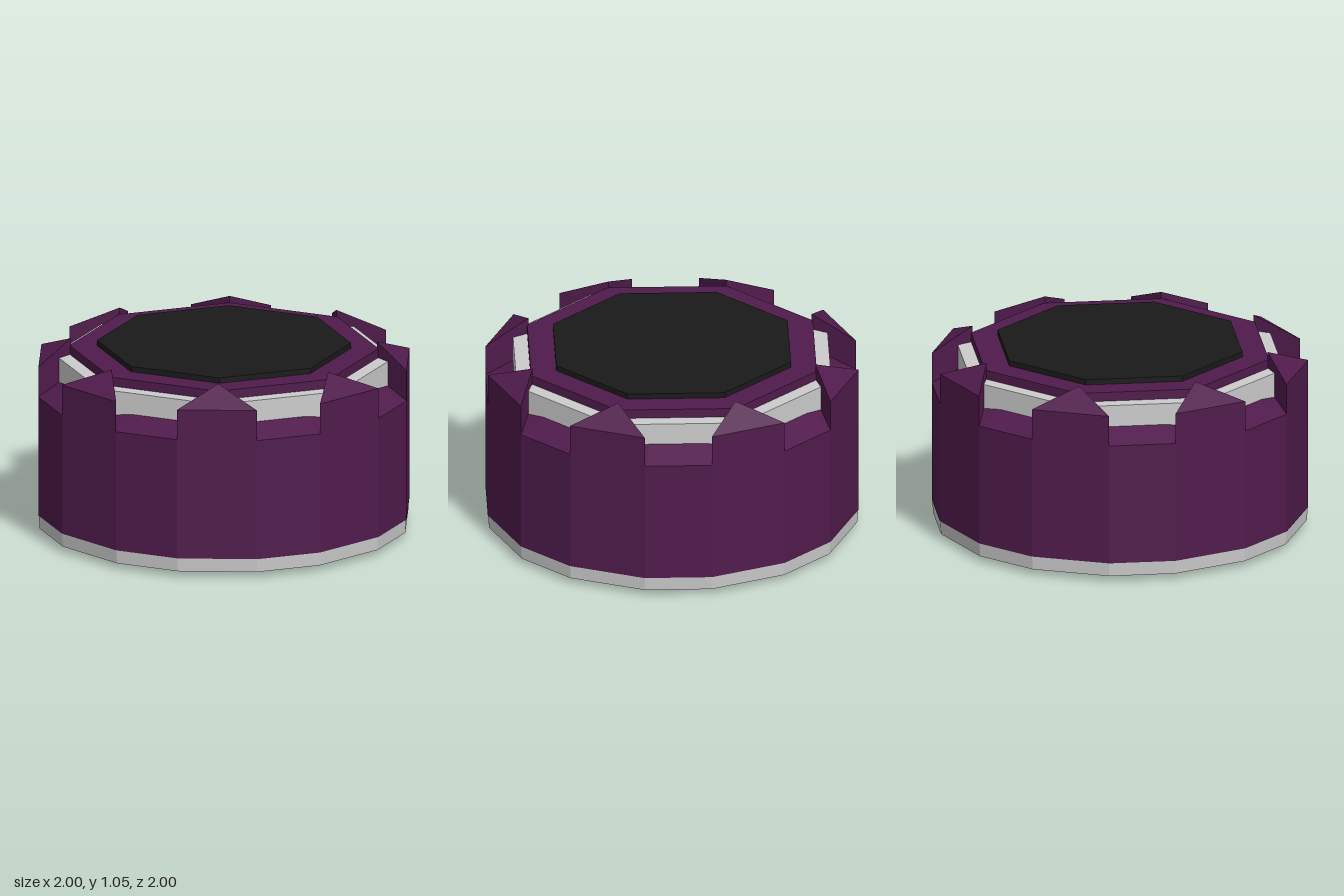
import * as THREE from 'three';

const SIDES = 8;
const STEP = (Math.PI * 2) / SIDES;
const LUG_HALF = 0.217; // half width of a lug's outer wall

const material = (color) => new THREE.MeshStandardMaterial({ color, flatShading: true });

// Capped solid through rings of [x, y, z] corners, counterclockwise from above, bottom ring first
function loft(rings) {
  const pos = [];
  const tri = (a, b, c) => pos.push(...a, ...b, ...c);
  const n = rings[0].length;
  for (let r = 0; r < rings.length - 1; r++) {
    for (let j = 0; j < n; j++) {
      const k = (j + 1) % n;
      tri(rings[r][j], rings[r][k], rings[r + 1][k]);
      tri(rings[r][j], rings[r + 1][k], rings[r + 1][j]);
    }
  }
  const bottom = rings[0];
  const top = rings[rings.length - 1];
  for (let j = 1; j < n - 1; j++) {
    tri(bottom[0], bottom[j + 1], bottom[j]);
    tri(top[0], top[j], top[j + 1]);
  }
  const g = new THREE.BufferGeometry();
  g.setAttribute('position', new THREE.Float32BufferAttribute(pos, 3));
  g.computeVertexNormals();
  return g;
}

// Sixteen-cornered outline: eight lug walls joined by eight narrower walls
function outline(scale, y) {
  const ring = [];
  const radius = Math.hypot(1, LUG_HALF) * scale;
  const half = Math.atan(LUG_HALF);
  for (let i = 0; i < SIDES; i++) {
    for (const s of [-1, 1]) {
      const a = i * STEP + s * half;
      ring.push([Math.sin(a) * radius, y, Math.cos(a) * radius]);
    }
  }
  return ring;
}

export function createModel() {
  const model = new THREE.Group();
  const purple = material(0x501b4c);
  const grey = material(0xcccccc);
  const black = material(0x1a1a1a);

  const add = (name, geometry, mat, parent = model) => {
    const mesh = new THREE.Mesh(geometry, mat);
    mesh.name = name;
    parent.add(mesh);
    return mesh;
  };

  // Octagonal slab with corners in line with the lugs
  const octagon = (name, rTop, rBottom, y0, y1, mat) => {
    const mesh = add(name, new THREE.CylinderGeometry(rTop, rBottom, y1 - y0, SIDES), mat);
    mesh.position.y = (y0 + y1) / 2;
  };

  // Base: tapered foot and grey band
  octagon('foot', 0.87, 0.84, 0, 0.04, purple);
  add('baseBand', loft([outline(0.993, 0.033), outline(0.998, 0.11)]), grey);

  // Main drum with a sloping shoulder
  add('body', loft([outline(1, 0.108), outline(1, 0.78), outline(0.85, 0.84)]), purple);

  // Stepped top
  octagon('greyCollar', 0.925, 0.925, 0.82, 0.96, grey);
  octagon('topRim', 0.84, 0.84, 0.94, 1.01, purple);
  octagon('topPad', 0.69, 0.69, 1.0, 1.04, black);

  // Wedge lugs around the rim, rising to a point at the inner corner
  const wedge = (yOuter, yInner) => [
    [-LUG_HALF, yOuter, 1], [LUG_HALF, yOuter, 1], [0, yInner, 0.832],
  ];
  const lugGeometry = loft([wedge(0.78, 0.78), wedge(0.95, 1.05)]);
  const lugs = new THREE.Group();
  lugs.name = 'lugs';
  model.add(lugs);
  for (let i = 0; i < SIDES; i++) {
    add('lug', lugGeometry, purple, lugs).rotation.y = i * STEP;
  }

  return model;
}
